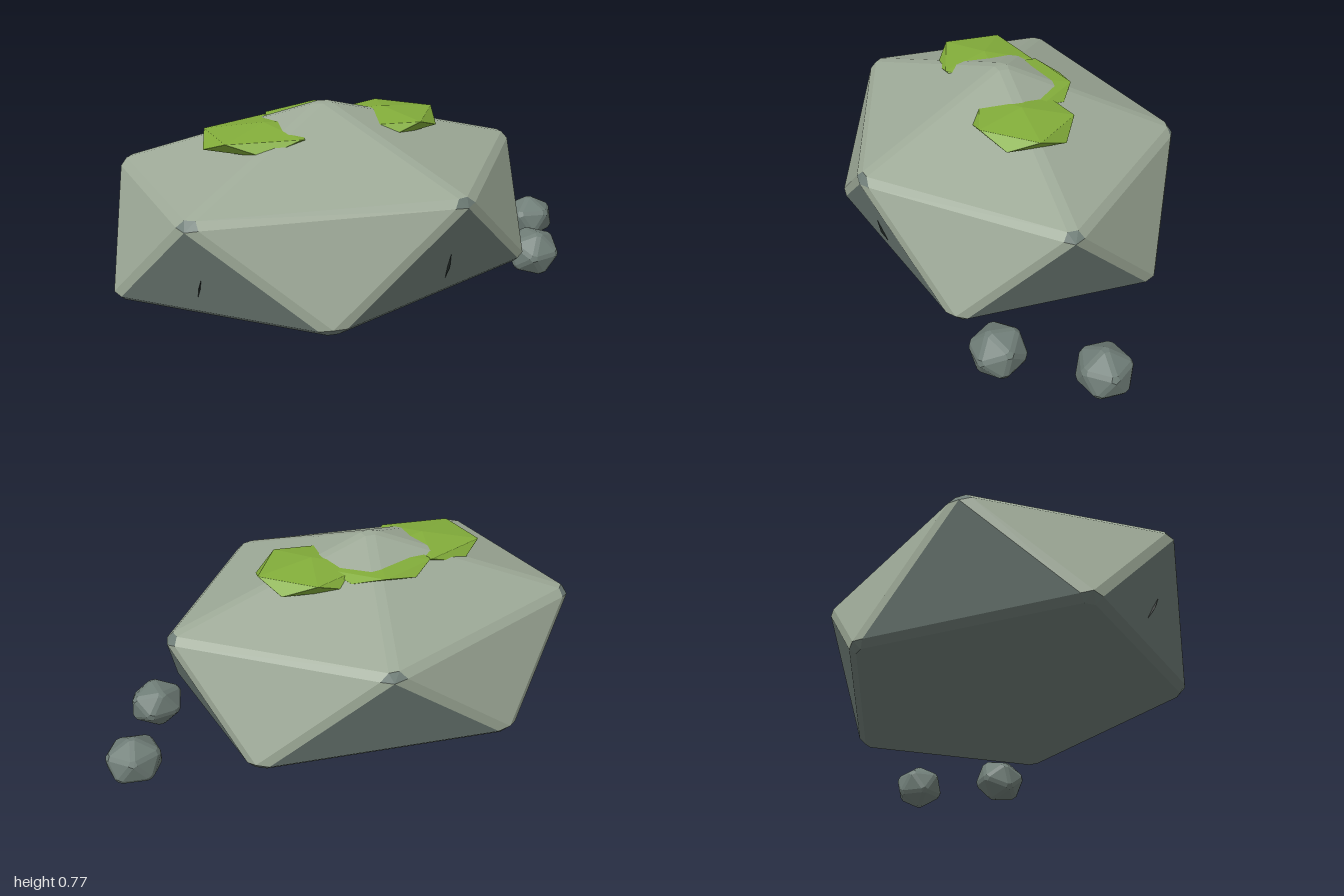
import * as THREE from 'three';
import { ConvexGeometry } from 'three/addons/geometries/ConvexGeometry.js';

const mat = (color) => new THREE.MeshStandardMaterial({ color, flatShading: true });

// Pole-up icosahedron scaled to (rx, ry, rz), with bevels of a constant width
function bevelledStone(rx, ry, rz, bevel, bottomY = -1) {
  const vertex = (x, y, z) => new THREE.Vector3(x * rx, y * ry, z * rz);
  const ring = (y, offset) => Array.from({ length: 5 }, (_, k) => {
    const a = ((k + offset) * Math.PI * 2) / 5;
    return vertex(0.894 * Math.cos(a), y, 0.894 * Math.sin(a));
  });
  const top = vertex(0, 1, 0), bottom = vertex(0, bottomY, 0);
  const up = ring(0.447, 0), low = ring(-0.447, 0.5);
  const points = [];
  for (let k = 0; k < 5; k++) {
    const n = (k + 1) % 5;
    const faces = [[top, up[k], up[n]], [up[k], up[n], low[k]], [low[k], low[n], up[n]], [bottom, low[k], low[n]]];
    for (const face of faces) {
      // inset every face; the hull fills edges and corners with bevels
      face.forEach((v, i) => {
        const a = face[(i + 1) % 3].clone().sub(v).normalize();
        const b = face[(i + 2) % 3].clone().sub(v).normalize();
        const reach = bevel / Math.sin(a.angleTo(b));
        points.push(v.clone().addScaledVector(a, reach).addScaledVector(b, reach));
      });
    }
  }
  return new ConvexGeometry(points);
}

// Split a triangle soup into two geometries by a test on each triangle
function splitFaces(geometry, test) {
  const p = geometry.attributes.position, out = [[], []];
  for (let i = 0; i < p.count; i += 3) {
    const [a, b, c] = [0, 1, 2].map((j) => new THREE.Vector3().fromBufferAttribute(p, i + j));
    const normal = new THREE.Triangle(a, b, c).getNormal(new THREE.Vector3());
    const longest = Math.max(a.distanceTo(b), b.distanceTo(c), c.distanceTo(a));
    const target = out[test(normal, longest) ? 0 : 1];
    for (const v of [a, b, c]) target.push(v.x, v.y, v.z);
  }
  return out.map((list) => {
    const g = new THREE.BufferGeometry();
    g.setAttribute('position', new THREE.Float32BufferAttribute(list, 3));
    g.computeVertexNormals();
    return g;
  });
}

export function createModel() {
  const group = new THREE.Group();
  const stone = mat(0x6f7d77), paleStone = mat(0x9da997), moss = mat(0x82ac3a), dark = mat(0x1c2321);
  const add = (name, geometry, material, x, y, z) => {
    const mesh = new THREE.Mesh(geometry, material);
    mesh.name = name;
    mesh.position.set(x, y, z);
    group.add(mesh);
    return mesh;
  };

  // Boulder: pale weathered upper faces, darker sides, corners and underside
  const [upper, lower] = splitFaces(bevelledStone(0.965, 0.45, 0.75, 0.02, -0.73),
    (n, longest) => n.y > -0.05 && (longest > 0.15 || n.y > 0.95));
  add('boulderTop', upper, paleStone, -0.145, 0.34, 0);
  add('boulderBase', lower, stone, -0.145, 0.34, 0);

  // Moss patches around the peak
  const patches = [
    [-0.39, 0.68, 0, 0.268, 0.05, 0.218],
    [0.11, 0.68, 0, 0.252, 0.05, 0.218],
    [-0.13, 0.697, -0.085, 0.24, 0.025, 0.207],
  ];
  for (const [x, y, z, rx, ry, rz] of patches) add('mossPatch', bevelledStone(rx, ry, rz, 0.0005), moss, x, y, z);

  // Thin cracks lying in the front faces
  for (const [x, z, tilt, turn] of [[0.09, 0.552, 0.325, 0.25], [-0.77, 0.319, 0.49, -0.8]]) {
    const crack = add('crack', new THREE.OctahedronGeometry(1), dark, x, 0.27, z);
    crack.scale.set(0.005, 0.075, 0.012);
    crack.rotation.set(tilt, turn, 0);
  }

  // Loose pebbles beside the boulder
  for (const [x, z, tilt, turn] of [[0.892, -0.05, 0, 0], [0.685, 0.272, 0.4, 0.35]]) {
    const pebble = add('pebble', bevelledStone(0.124, 0.102, 0.115, 0.01), stone, x, 0.097, z);
    pebble.rotation.set(tilt, turn, 0);
  }
  return group;
}
